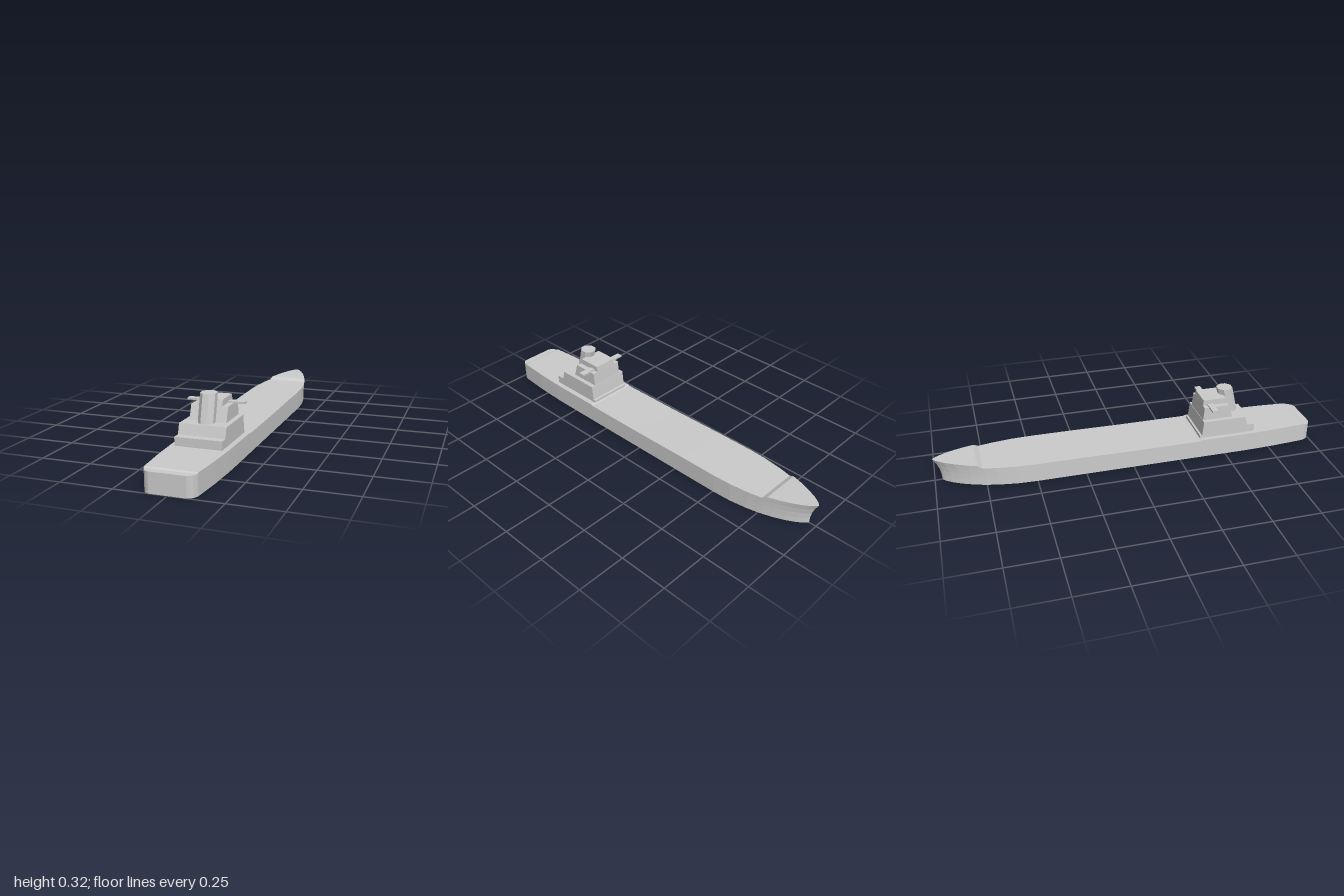
import * as THREE from 'three';

const material = new THREE.MeshStandardMaterial({ color: 0xcccccc, flatShading: true });

function addMesh(group, name, geometry) {
  const mesh = new THREE.Mesh(geometry, material);
  mesh.name = name;
  group.add(mesh);
  return mesh;
}

// Side profile of [z, y] points, extruded across the beam
function sideBlock(profile, halfWidth) {
  const shape = new THREE.Shape(profile.map(([z, y]) => new THREE.Vector2(z, y)));
  const geometry = new THREE.ExtrudeGeometry(shape, { depth: 2 * halfWidth, bevelEnabled: false });
  return geometry.translate(0, 0, -halfWidth).rotateY(-Math.PI / 2);
}

// Linear lookup in a list of [position, value] sorted by position
function lookup(table, p) {
  for (let i = 1; i < table.length; i++) {
    const [a, va] = table[i - 1], [b, vb] = table[i];
    if (p <= b) return THREE.MathUtils.mapLinear(Math.max(p, a), a, b, va, vb);
  }
  return table[table.length - 1][1];
}

// Hull lofted from bow to stern, with raked stem and stepped deck
function hullGeometry() {
  const deck = [[-1, 0.125], [-0.79, 0.114], [-0.765, 0.1], [-0.3, 0.099], [0, 0.096],
    [0.355, 0.096], [0.37, 0.101], [0.955, 0.101], [0.965, 0.096], [1, 0.096]];
  const aftWidth = [[0.55, 0.14], [0.65, 0.139], [0.8, 0.133], [0.955, 0.121],
    [0.965, 0.119], [0.985, 0.109], [0.995, 0.098], [1, 0.085]];
  const stations = [-1, -0.995, -0.98, -0.95, -0.9, -0.84, -0.79, -0.765, -0.7, -0.6, -0.5, -0.3, 0,
    0.355, 0.37, 0.55, 0.65, 0.8, 0.955, 0.965, 0.985, 0.995, 1];
  const levels = [0, 0.25, 0.5, 0.75, 1];
  const rake = [0.038, 0.036, 0.03, 0.018, 0];
  const width = (z) => z < -0.5
    ? 0.14 * Math.pow(Math.max(0, 1 - ((-z - 0.5) / 0.5) ** 2), 0.75)
    : lookup(aftWidth, z);

  const points = [], index = [];
  const n = levels.length * 2;
  for (const z of stations) {
    const w = width(z), top = lookup(deck, z);
    const fore = Math.max(0, (-0.6 - z) / 0.4);
    const side = levels.map((f, i) => [w, f * top, z + rake[i] * fore]);
    const ring = [...side, ...side.slice().reverse().map(([x, y, zz]) => [-x, y, zz])];
    ring.forEach((p) => points.push(...p));
  }
  for (let s = 0; s < stations.length - 1; s++) {
    for (let i = 0; i < n; i++) {
      const a = s * n + i, b = s * n + (i + 1) % n;
      index.push(a, b, a + n, b, b + n, a + n);
    }
  }
  // Transom
  const last = (stations.length - 1) * n;
  for (let i = 1; i < n - 1; i++) index.push(last, last + i, last + i + 1);

  const geometry = new THREE.BufferGeometry();
  geometry.setAttribute('position', new THREE.Float32BufferAttribute(points, 3));
  geometry.setIndex(index);
  const flat = geometry.toNonIndexed();
  flat.computeVertexNormals();
  return flat;
}

// Eight-sided funnel leaning forward as it descends aft
function funnelGeometry() {
  const height = 0.135;
  const geometry = new THREE.CylinderGeometry(1, 1, height, 8);
  geometry.rotateY(Math.PI / 8).scale(0.04, 1, 0.043);
  const shear = new THREE.Matrix4().set(
    1, 0, 0, 0,
    0, 1, 0, 0,
    0, -0.033 / height, 1, 0,
    0, 0, 0, 1);
  geometry.applyMatrix4(shear).translate(0, 0.19 + height / 2, 0.545);
  geometry.computeVertexNormals();
  return geometry;
}

export function createModel() {
  const ship = new THREE.Group();
  ship.name = 'cargoShip';
  addMesh(ship, 'hull', hullGeometry());

  // Superstructure
  const house = new THREE.Group();
  house.name = 'superstructure';
  house.position.x = -0.001;
  ship.add(house);
  addMesh(house, 'lowerDeckhouse', sideBlock([
    [0.365, 0.09], [0.667, 0.09], [0.667, 0.143], [0.626, 0.143],
    [0.612, 0.192], [0.383, 0.192], [0.375, 0.115], [0.365, 0.113]], 0.114));
  addMesh(house, 'bridgeHouse', sideBlock([
    [0.385, 0.19], [0.548, 0.19], [0.524, 0.262], [0.391, 0.262]], 0.09));
  addMesh(house, 'wheelhouse', sideBlock([
    [0.391, 0.26], [0.525, 0.26], [0.515, 0.292], [0.394, 0.292]], 0.062));

  // Bridge wings
  for (const side of [1, -1]) {
    const wing = addMesh(house, side > 0 ? 'leftBridgeWing' : 'rightBridgeWing',
      new THREE.BoxGeometry(0.084, 0.009, 0.032));
    wing.position.set(side * 0.1, 0.2645, 0.431);
  }

  addMesh(house, 'funnel', funnelGeometry());
  return ship;
}
